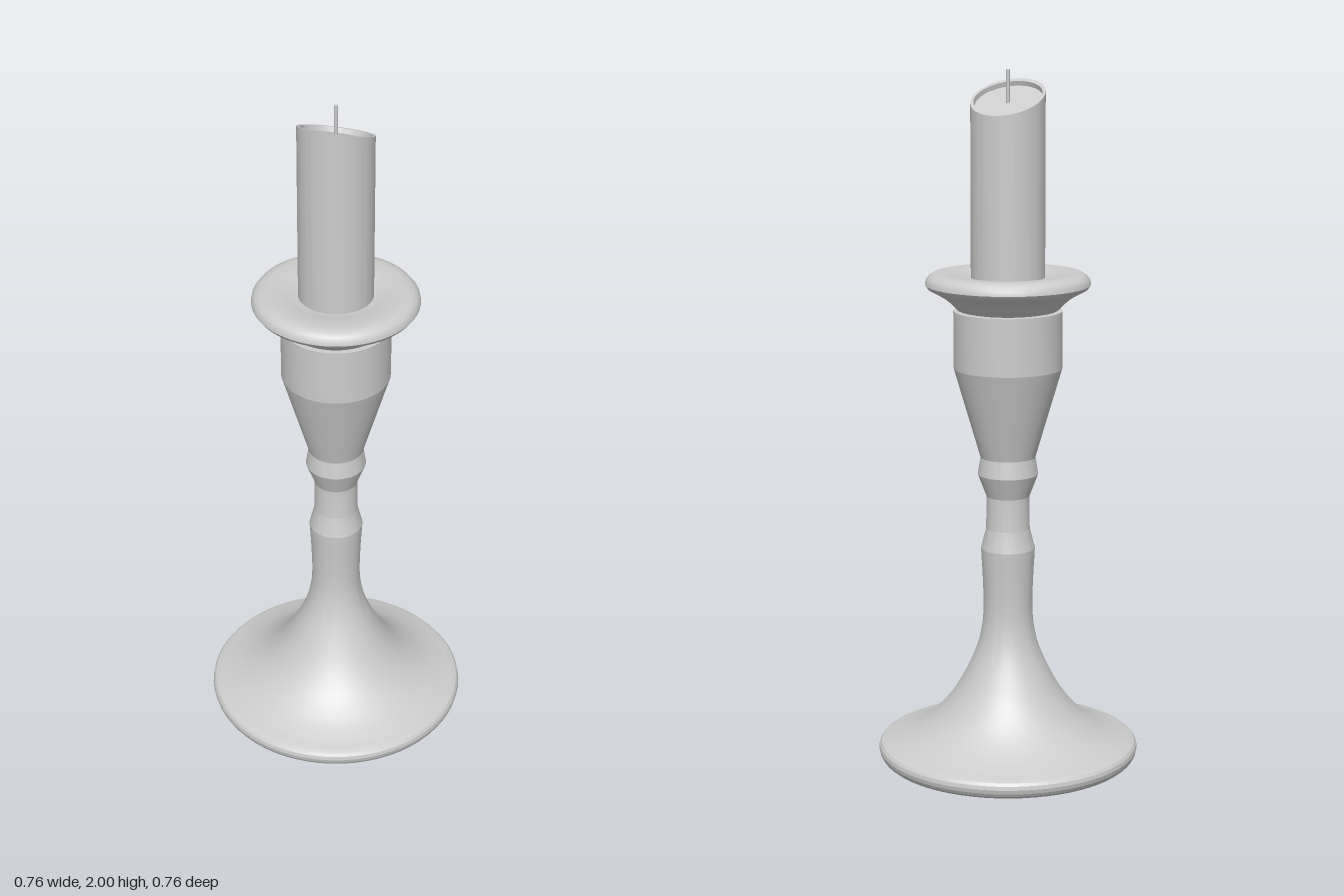
import * as THREE from 'three';
import { toCreasedNormals } from 'three/addons/utils/BufferGeometryUtils.js';

const SEGMENTS = 64;
const vectors = (list) => list.map(([r, y]) => new THREE.Vector2(r, y));

// Turned part: profile runs from the bottom up the outside, then inwards
function turned(name, points, material, crease = 0.24) {
  const geometry = toCreasedNormals(new THREE.LatheGeometry(points, SEGMENTS), crease);
  const mesh = new THREE.Mesh(geometry, material);
  mesh.name = name;
  return mesh;
}

export function createModel() {
  const model = new THREE.Group();
  model.name = 'candlestick';
  const grey = new THREE.MeshStandardMaterial({ color: 0xcccccc });
  grey.name = 'pale grey';

  // Round foot with a rolled edge, sweeping up into the stem
  const sweep = new THREE.SplineCurve(vectors([
    [0.36, 0.054], [0.325, 0.065], [0.27, 0.09], [0.21, 0.135], [0.16, 0.195], [0.12, 0.265],
    [0.09, 0.335], [0.075, 0.4], [0.071, 0.46], [0.073, 0.54], [0.077, 0.61],
  ])).getPoints(50);
  model.add(turned('foot', [
    ...vectors([[0, 0], [0.36, 0], [0.37, 0.008], [0.376, 0.018],
      [0.379, 0.03], [0.377, 0.041], [0.371, 0.049]]),
    ...sweep,
  ], grey));

  // Stem with two collars, opening into the cup
  model.add(turned('stem', vectors([
    [0.077, 0.61], [0.078, 0.63], [0.063, 0.69], [0.062, 0.785],
    [0.087, 0.85], [0.079, 0.9],
  ]), grey));
  model.add(turned('cup', vectors([
    [0.079, 0.9], [0.155, 1.16], [0.155, 1.325], [0.13, 1.325],
  ]), grey));

  // Drip dish with a rounded rim and a slightly sunken socket
  model.add(turned('dripDish', vectors([
    [0.13, 1.325], [0.143, 1.328], [0.165, 1.35], [0.185, 1.366], [0.21, 1.38],
    [0.227, 1.389], [0.235, 1.4], [0.233, 1.412], [0.226, 1.422],
    [0.213, 1.43], [0.195, 1.433], [0.142, 1.429], [0.12, 1.421], [0.104, 1.42],
  ]), grey, 0.5));

  // Candle: the top is cut on a slant, with a shallow round recess square to the cut
  const slope = 0.43, top = 1.925, depth = 0.013;
  const candleShape = new THREE.LatheGeometry(vectors([
    [0, 1.39], [0.105, 1.39], [0.105, top], [0.097, top], [0.096, top - depth], [0, top - depth],
  ]), SEGMENTS);
  const p = candleShape.attributes.position;
  for (let i = 0; i < p.count; i++) {
    if (p.getY(i) < 1.5) continue;
    const floor = p.getY(i) < top - depth / 2;
    const inner = Math.hypot(p.getX(i), p.getZ(i)) < 0.1;
    const z = p.getZ(i) * (inner ? 0.92 : 1);
    p.setY(i, p.getY(i) + z * slope);
    p.setZ(i, z + (floor ? depth * slope : 0));
  }
  const candle = new THREE.Mesh(toCreasedNormals(candleShape, 0.4), grey);
  candle.name = 'candle';
  model.add(candle);

  // Wick
  const wick = new THREE.Mesh(new THREE.CylinderGeometry(0.005, 0.005, 0.095, 12), grey);
  wick.name = 'wick';
  wick.position.y = 1.9525;
  model.add(wick);

  return model;
}
